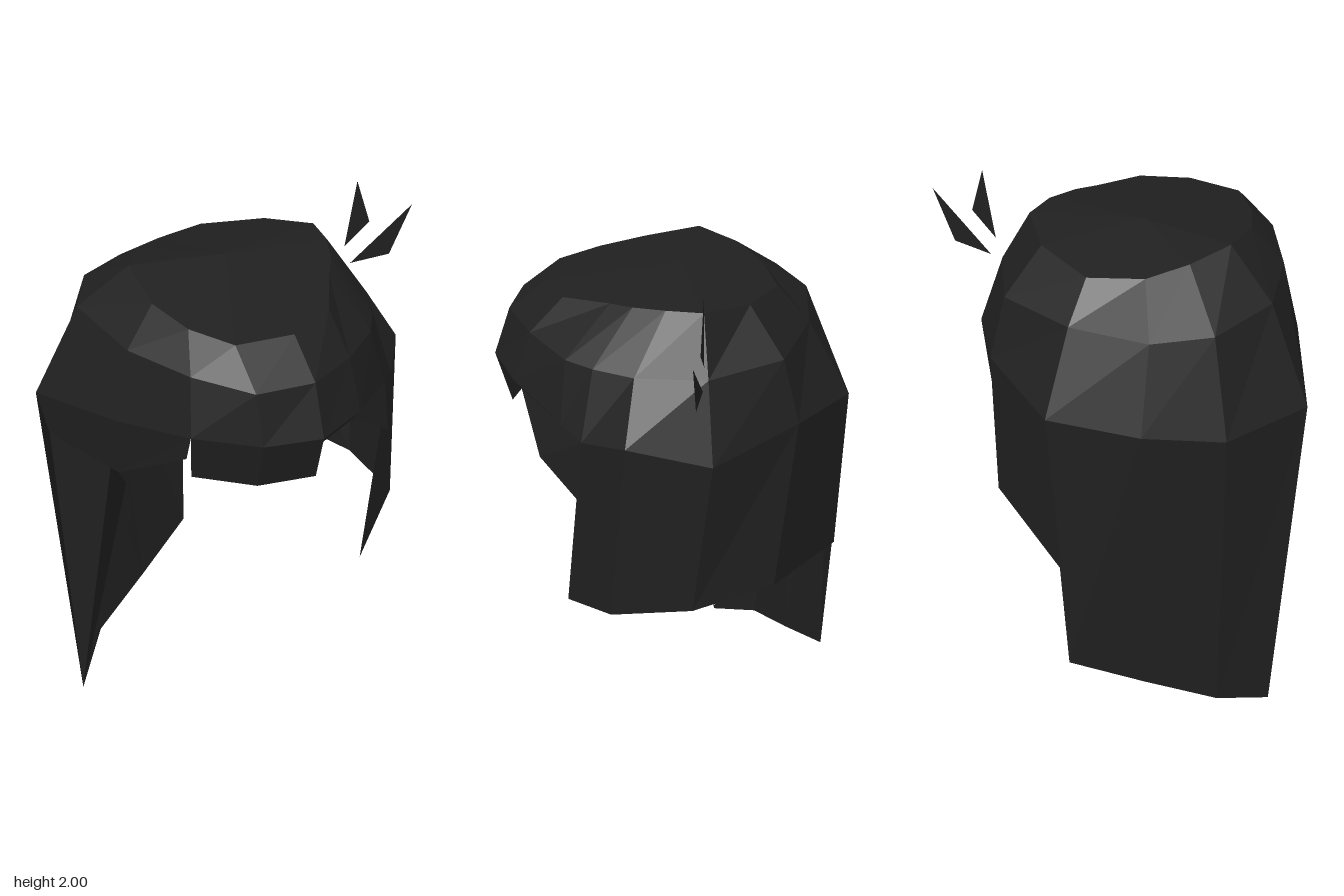
import * as THREE from 'three';

const hair = new THREE.MeshStandardMaterial({ color: 0x202020, flatShading: true, side: THREE.DoubleSide });
hair.name = 'black hair';

// Cross-sections of the cap, running from the front round the left side, back and right side
const crown = [
  [.02, 1.83, .42], [.17, 1.84, .33], [.24, 1.86, .16], [.28, 1.87, .08], [.31, 1.88, -.03],
  [.31, 1.88, -.15], [.18, 1.86, -.28], [-.03, 1.84, -.35], [-.2, 1.85, -.28], [-.3, 1.88, -.18],
  [-.37, 1.9, -.04], [-.35, 1.86, .15], [-.28, 1.84, .3], [-.17, 1.83, .42],
];
const upper = [
  [.04, 1.73, .55], [.2, 1.72, .44], [.34, 1.7, .29], [.39, 1.7, .19], [.43, 1.7, .05],
  [.41, 1.7, -.18], [.25, 1.71, -.4], [-.03, 1.72, -.46], [-.3, 1.73, -.43], [-.46, 1.74, -.31],
  [-.54, 1.76, -.08], [-.45, 1.74, .2], [-.31, 1.74, .41], [-.15, 1.73, .55],
];
const brow = [
  [.05, 1.56, .61], [.22, 1.55, .5], [.4, 1.5, .3], [.46, 1.47, .22], [.55, 1.51, .06],
  [.5, 1.44, -.21], [.28, 1.5, -.46], [-.03, 1.46, -.61], [-.33, 1.45, -.53], [-.55, 1.42, -.38],
  [-.7, 1.44, -.11], [-.51, 1.5, .22], [-.33, 1.55, .46], [-.14, 1.56, .59],
];

// Mesh from a list of polygons, each split as a fan
function facets(name, polygons) {
  const pos = [];
  for (const p of polygons)
    for (let i = 1; i < p.length - 1; i++) pos.push(...p[0], ...p[i], ...p[i + 1]);
  const geo = new THREE.BufferGeometry();
  geo.setAttribute('position', new THREE.Float32BufferAttribute(pos, 3));
  geo.computeVertexNormals();
  const mesh = new THREE.Mesh(geo, hair);
  mesh.name = name;
  return mesh;
}

// Quads between an upper and a lower row of points
function strip(top, low, closed = false) {
  const quads = [];
  const n = top.length;
  for (let i = 0; i < (closed ? n : n - 1); i++) {
    const j = (i + 1) % n;
    quads.push([low[i], low[j], top[j], top[i]]);
  }
  return quads;
}

export function createModel() {
  const group = new THREE.Group();
  group.name = 'hair';

  // Cap
  const peak = [-.05, 1.895, -.02];
  const lid = crown.map((p, i) => [p, crown[(i + 1) % crown.length], peak]);
  group.add(facets('cap', [...lid, ...strip(crown, upper, true), ...strip(upper, brow, true)]));

  // Locks hanging from the brow line: name, first column, lower edge
  const locks = [
    ['fringe', 12, [[-.32, 1.37, .42], [-.14, 1.375, .54], [.05, 1.38, .56]]],
    ['leftFringe', 0, [[.05, 1.54, .6], [.2, 1.51, .48], [.385, 1.36, .38], [.46, 1.25, .24]]],
    ['leftLock', 3, [[.345, .75, .32], [.55, .86, .12], [.5, .87, -.15], [.33, .885, -.41], [-.06, .82, -.6]]],
    ['longTail', 7, [[-.06, .34, -.58], [-.29, .22, -.43], [-.52, .11, -.28], [-.65, 0, -.09]]],
    ['rightTemple', 10, [[-.67, 1.27, -.1], [-.5, 1.26, .18], [-.34, 1.46, .44]]],
  ];
  for (const [name, first, low] of locks) {
    const top = low.map((_, i) => brow[(first + i) % brow.length]);
    group.add(facets(name, strip(top, low)));
  }

  // Flap folding inward along the front of the tail
  group.add(facets('tailFlap', [[
    [-.65, 0, -.09], [-.42, .93, 0], [-.44, 1.08, .02], [-.51, 1.26, .12], [-.67, 1.27, -.1],
  ]]));

  // Two loose flat strands beside the head
  const z = -.17;
  group.add(facets('looseStrands', [
    [[.475, 2, z], [.44, 1.76, z], [.53, 1.84, z]],
    [[.69, 1.88, z], [.465, 1.69, z], [.615, 1.7, z]],
  ]));
  return group;
}
